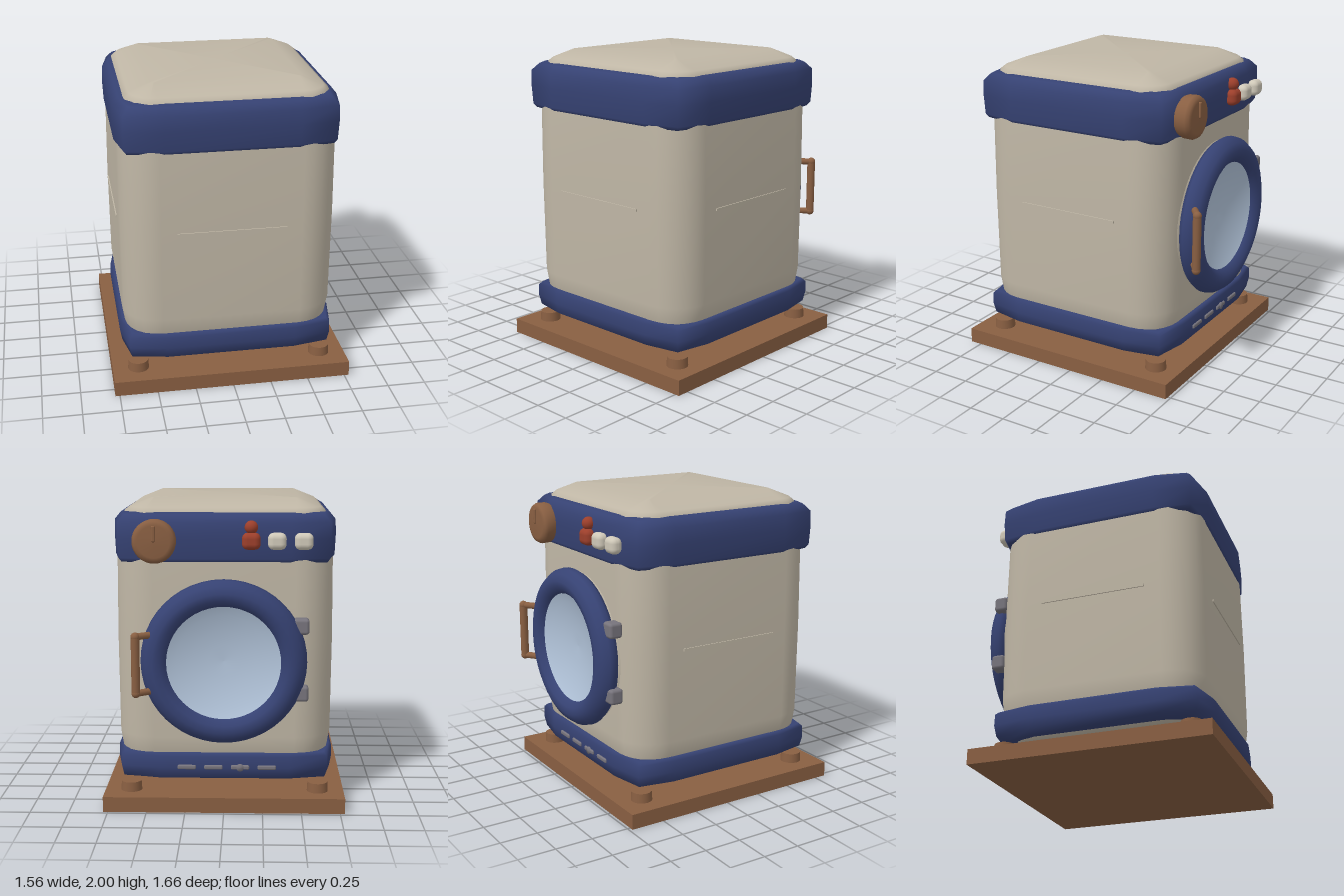
import * as THREE from 'three';
import { RoundedBoxGeometry } from 'three/addons/geometries/RoundedBoxGeometry.js';

const material = (name, color) => {
  const m = new THREE.MeshStandardMaterial({ color });
  m.name = name;
  return m;
};

// Square plan with broadly rounded corners (half = half width)
function roundedPlan(half) {
  const flat = Math.min(0.45, half - 0.01), r = half - flat, pts = [];
  for (let q = 0; q < 4; q++) {
    const c = Math.PI / 4 + q * Math.PI / 2;
    const cx = Math.sign(Math.cos(c)) * flat, cz = Math.sign(Math.sin(c)) * flat;
    for (let i = 0; i <= 6; i++) {
      const a = (q + i / 6) * Math.PI / 2;
      pts.push([cx + r * Math.cos(a), cz + r * Math.sin(a)]);
    }
  }
  return pts;
}

// Square plan with one soft vertex at each corner
function bandPlan(half) {
  const pts = [], c = half - 0.045;
  for (let q = 0; q < 4; q++) {
    const co = Math.round(Math.cos(q * Math.PI / 2)), si = Math.round(Math.sin(q * Math.PI / 2));
    for (const [x, z] of [[half, 0.42], [c, c], [0.42, half]]) pts.push([x * co - z * si, x * si + z * co]);
  }
  return pts;
}

// Skin stacked plans; profile is a list of [y, half width]
function loft(plan, profile, capped) {
  const pos = [], idx = [];
  let n = 0;
  for (const [y, half] of profile) {
    const ring = plan(half);
    n = ring.length;
    for (const [x, z] of ring) pos.push(x, y, z);
  }
  for (let j = 0; j < profile.length - 1; j++) {
    for (let i = 0; i < n; i++) {
      const a = j * n + i, b = j * n + (i + 1) % n;
      idx.push(a, a + n, b, b, a + n, b + n);
    }
  }
  if (capped) {
    const last = (profile.length - 1) * n, c = pos.length / 3;
    pos.push(0, profile[0][0], 0, 0, profile[profile.length - 1][0], 0);
    for (let i = 0; i < n; i++) {
      const k = (i + 1) % n;
      idx.push(c, i, k, c + 1, last + k, last + i);
    }
  }
  const g = new THREE.BufferGeometry();
  g.setAttribute('position', new THREE.Float32BufferAttribute(pos, 3));
  g.setIndex(idx);
  g.computeVertexNormals();
  return g;
}

// Turned part whose axis points to -z; profile is a list of [radius, depth]
const turned = (profile, sides = 48) =>
  new THREE.LatheGeometry(profile.map(([r, d]) => new THREE.Vector2(r, d)), sides).rotateX(-Math.PI / 2);

export function createModel() {
  const model = new THREE.Group();
  model.name = 'washingMachine';
  const cream = material('cream enamel', 0xbfb6a5);
  const blue = material('navy trim', 0x364273);
  const wood = material('brown wood', 0x895f42);
  const glass = material('pale glass', 0xb2c4da);
  const grey = material('grey metal', 0x77747c);
  const red = material('red button', 0x9c3f2b);
  const white = material('white button', 0xcfc8b8);

  const add = (name, geo, mat, x = 0, y = 0, z = 0, parent = model) => {
    const m = new THREE.Mesh(geo, mat);
    m.name = name;
    m.position.set(x, y, z);
    parent.add(m);
    return m;
  };
  const Z = 0.05; // centre of the cabinet in depth

  // Base board and feet
  add('baseBoard', new THREE.BoxGeometry(1.56, 0.1, 1.56), wood, 0, 0.05, Z);
  for (const x of [-0.61, 0.61]) for (const z of [-0.61, 0.61]) {
    add('foot', new THREE.CylinderGeometry(0.065, 0.07, 0.075, 24), wood, x, 0.125, z + Z);
  }

  // Cabinet with its upper and lower bands
  add('cabinet', loft(roundedPlan, [[0.155, 0.46], [0.185, 0.57], [0.25, 0.64], [0.38, 0.677], [0.48, 0.693],
    [1.1, 0.698], [1.68, 0.693], [1.82, 0.67], [1.92, 0.642], [1.945, 0.61], [2, 0.47]], true), cream, 0, 0, Z);
  add('upperBand', loft(bandPlan, [[1.62, 0.63], [1.61, 0.69], [1.635, 0.706], [1.76, 0.712], [1.86, 0.709],
    [1.905, 0.672], [1.92, 0.645], [1.91, 0.6]]), blue, 0, 0, Z);
  add('lowerBand', loft(bandPlan, [[0.21, 0.56], [0.19, 0.645], [0.21, 0.697], [0.28, 0.71], [0.355, 0.708],
    [0.375, 0.69], [0.37, 0.63]]), blue, 0, 0, Z);

  // Thin raised seams on three plain sides
  for (const a of [0, Math.PI / 2, -Math.PI / 2]) {
    const pivot = new THREE.Group();
    pivot.name = 'seamSide';
    pivot.position.z = Z;
    pivot.rotation.y = a;
    model.add(pivot);
    add('seam', new THREE.BoxGeometry(0.7, 0.016, 0.012), cream, 0, 1.08, 0.699, pivot);
  }

  // Round door
  const door = new THREE.Group();
  door.name = 'door';
  door.position.y = 0.99;
  model.add(door);
  add('doorSeat', turned([[0.5, 0.6], [0.5, 0.665], [0.3, 0.665]]), cream, 0, 0, 0, door);
  add('doorRing', turned([[0.47, 0.655], [0.505, 0.66], [0.525, 0.69], [0.52, 0.725], [0.49, 0.765], [0.445, 0.787],
    [0.4, 0.78], [0.365, 0.75], [0.345, 0.71], [0.345, 0.67]]), blue, 0, 0, 0, door);
  add('doorGlass', turned([[0.36, 0.74], [0.3, 0.715], [0.2, 0.69], [0.1, 0.675], [0, 0.67]]), glass, 0, 0, 0, door);
  for (const y of [-0.2, 0.23]) {
    add('hinge', new RoundedBoxGeometry(0.1, 0.1, 0.09, 2, 0.02), grey, -0.485, y, -0.685, door);
  }

  // Door handle, swept outward from the ring
  const path = new THREE.CurvePath();
  const corners = [[0.43, 0.81, -0.72], [0.545, 0.81, -0.805], [0.545, 1.17, -0.805], [0.43, 1.17, -0.72]]
    .map((p) => new THREE.Vector3(...p));
  for (let i = 0; i < 3; i++) path.add(new THREE.LineCurve3(corners[i], corners[i + 1]));
  path.curves.forEach((c, i) => {
    const r = i === 1 ? 0.027 : 0.022;
    add(i === 1 ? 'handleGrip' : 'handleArm', new THREE.TubeGeometry(c, 1, r, 12), wood);
  });
  for (const p of corners.slice(1, 3)) add('handleCorner', new THREE.SphereGeometry(0.028, 16, 12), wood, p.x, p.y, p.z);

  // Dial with pointer
  add('dial', turned([[0.12, 0.63], [0.135, 0.665], [0.137, 0.715], [0.125, 0.737], [0.1, 0.745], [0, 0.748]], 32), wood, 0.43, 1.75, 0);
  add('dialPointer', new RoundedBoxGeometry(0.025, 0.1, 0.02, 2, 0.008), wood, 0.43, 1.8, -0.75);

  // Buttons
  for (const [x, mat] of [[-0.17, red], [-0.33, white], [-0.495, white]]) {
    add('button', new RoundedBoxGeometry(0.115, 0.105, 0.08, 4, 0.036), mat, x, 1.75, -0.68);
  }
  add('smallButton', new THREE.SphereGeometry(0.042, 20, 14), red, -0.17, 1.835, -0.67);

  // Vent slots in the lower band
  for (let i = 0; i < 4; i++) {
    add('vent', new RoundedBoxGeometry(0.12, 0.03, 0.025, 2, 0.01), grey, 0.24 - i * 0.172, 0.285, -0.658);
  }
  add('drainCap', turned([[0.024, 0], [0.024, 0.02], [0, 0.022]], 16), grey, -0.104, 0.285, -0.652);
  return model;
}
